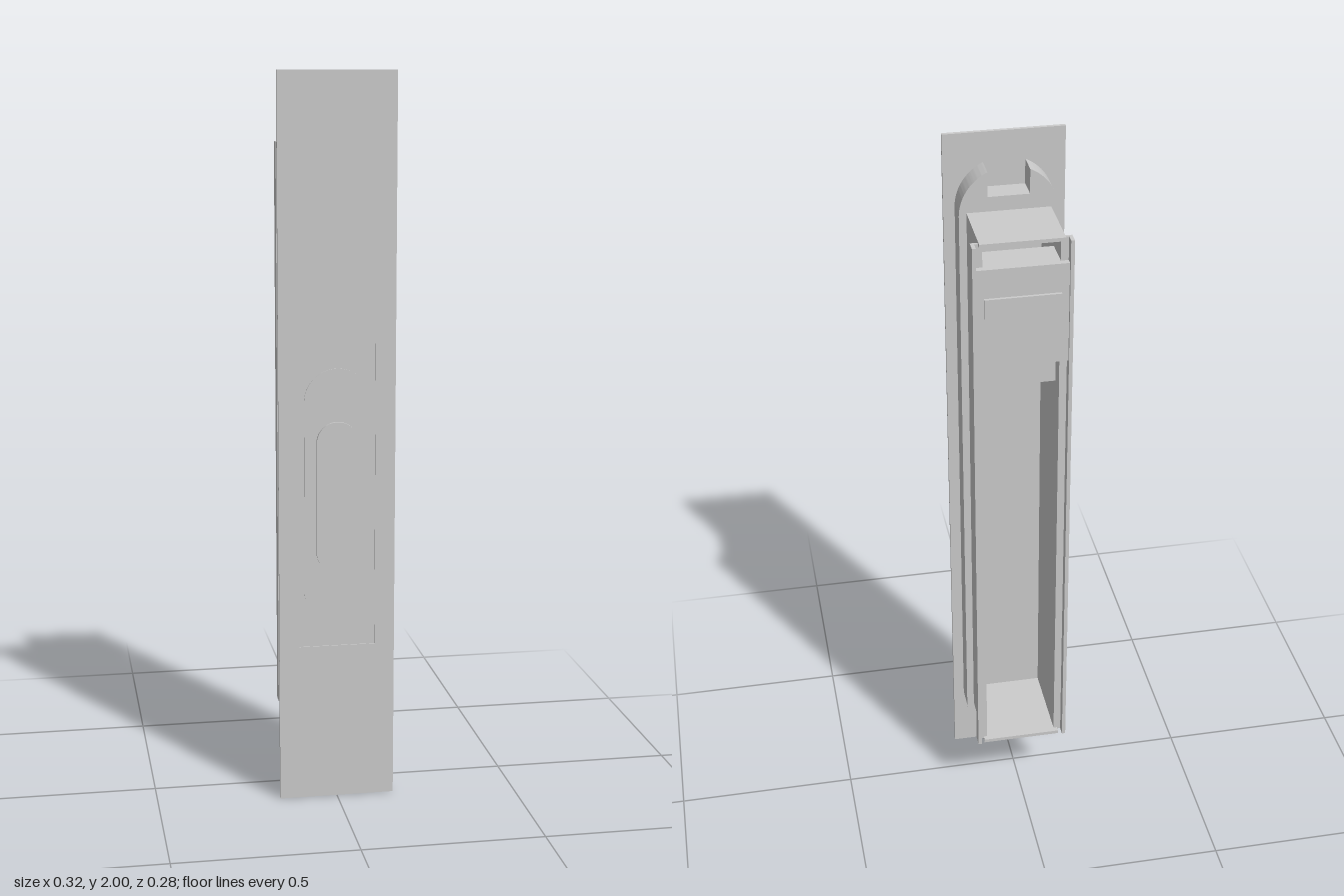
import * as THREE from 'three';
import { toCreasedNormals } from 'three/addons/utils/BufferGeometryUtils.js';

const material = new THREE.MeshStandardMaterial({ color: 0xcccccc });

function add(group, name, geometry) {
  const mesh = new THREE.Mesh(geometry, material);
  mesh.name = name;
  group.add(mesh);
}

// Box given by its limits on each axis
function block(x0, x1, y0, y1, z0, z1) {
  return new THREE.BoxGeometry(x1 - x0, y1 - y0, z1 - z0)
    .translate((x0 + x1) / 2, (y0 + y1) / 2, (z0 + z1) / 2);
}

function rect(Type, x0, x1, y0, y1) {
  const p = new Type();
  p.moveTo(x0, y0).lineTo(x1, y0).lineTo(x1, y1).lineTo(x0, y1).closePath();
  return p;
}

// Upright slot outline with round ends
function slot(Type, r, y0, y1) {
  const p = new Type();
  p.absarc(0, y1 - r, r, 0, Math.PI, false);
  p.absarc(0, y0 + r, r, Math.PI, Math.PI * 2, false);
  p.closePath();
  return p;
}

function extrude(shape, z0, z1) {
  const geo = new THREE.ExtrudeGeometry(shape, { depth: z1 - z0, bevelEnabled: false, curveSegments: 24 });
  return toCreasedNormals(geo.translate(0, 0, z0), 0.5);
}

export function createModel() {
  const model = new THREE.Group();
  model.name = 'flushPull';

  // Face plate with a shallow recessed panel
  const plate = rect(THREE.Shape, -0.16, 0.16, 0, 2);
  plate.holes.push(rect(THREE.Path, -0.105, 0.105, 0.44, 1.28));
  add(model, 'facePlate', extrude(plate, 0.12, 0.13));
  add(model, 'recessedPanel', block(-0.105, 0.105, 0.44, 1.28, 0.12, 0.127));
  add(model, 'panelOval', extrude(slot(THREE.Shape, 0.09, 0.505, 1.215), 0.127, 0.13));
  add(model, 'thumbPad', extrude(slot(THREE.Shape, 0.057, 0.65, 1.07), 0.13, 0.138));

  // Round-ended collar, notched at the top, open in the middle
  const collar = new THREE.Shape();
  const r = 0.13, yTop = 1.8, yLow = 0.2, half = 0.055;
  const a = Math.acos(half / r);
  collar.absarc(0, yTop, r, 0, a, false);
  collar.lineTo(half, 1.85);
  collar.lineTo(-half, 1.85);
  collar.absarc(0, yTop, r, Math.PI - a, Math.PI, false);
  collar.absarc(0, yLow, r, Math.PI, Math.PI * 2, false);
  collar.closePath();
  collar.holes.push(rect(THREE.Path, -0.1, 0.1, 0.205, 1.8));
  add(model, 'collar', extrude(collar, 0.055, 0.12));

  // Housing, open at the back
  add(model, 'housingTop', block(-0.11, 0.11, 1.8, 1.81, -0.13, 0.056));
  add(model, 'housingBottom', block(-0.11, 0.11, 0.195, 0.205, -0.13, 0.056));
  for (const s of [-1, 1]) {
    // Side wall with a window
    const wall = rect(THREE.Shape, -0.11, 0.056, 0.2, 1.805);
    wall.holes.push(rect(THREE.Path, -0.105, 0, 1.46, 1.71));
    const geo = extrude(wall, -0.005, 0.005).rotateY(-Math.PI / 2).translate(s * 0.105, 0, 0);
    add(model, s > 0 ? 'leftWall' : 'rightWall', geo);

    // Stepped rim along the back edge
    const span = (p, q) => (s > 0 ? [p, q] : [-q, -p]);
    add(model, 'rimStep', block(...span(0.1, 0.13), 0.2, 1.805, -0.115, -0.107));
    add(model, 'rimLip', block(...span(0.12, 0.13), 0.2, 1.805, -0.14, -0.115));
  }

  // Latch held between the rims, with hook bars reaching into the windows
  const latch = new THREE.Group();
  latch.name = 'latch';
  add(latch, 'latchPlate', block(-0.12, 0.12, 1.46, 1.74, -0.132, -0.115));
  add(latch, 'latchRib', block(-0.1, 0.1, 1.605, 1.66, -0.14, -0.132));
  add(latch, 'latchLedge', block(-0.1, 0.1, 1.71, 1.74, -0.115, -0.03));
  add(latch, 'hookBar', block(-0.113, 0.113, 1.62, 1.67, -0.115, 0));
  add(latch, 'hookTongue', block(-0.099, 0.099, 1.37, 1.62, -0.075, -0.045));
  model.add(latch);

  return model;
}
